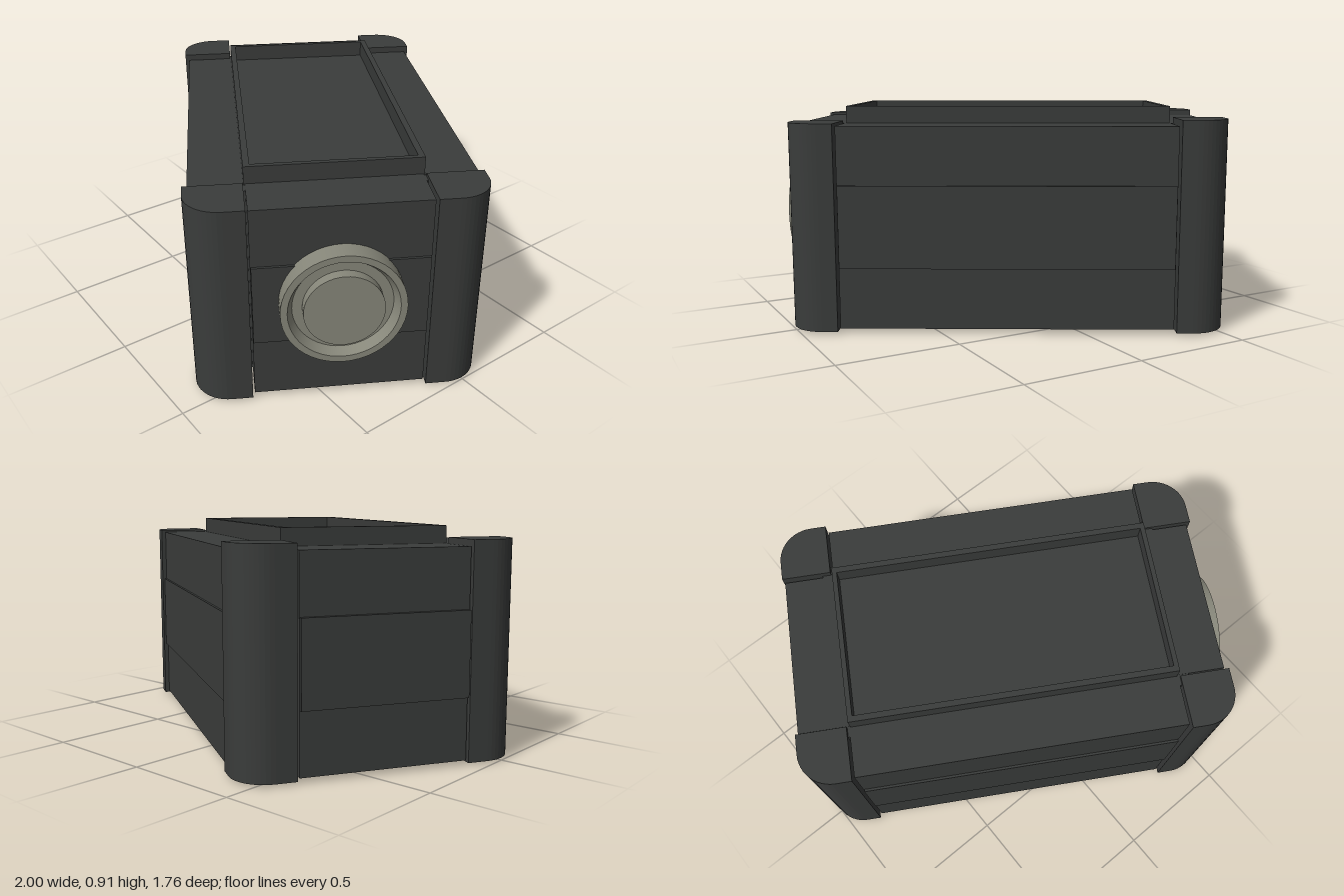
import * as THREE from 'three';

const dark = new THREE.MeshStandardMaterial({ color: 0x3a3c3b });
const metal = new THREE.MeshStandardMaterial({ color: 0x87877a });

// Extrude a flat (x, z) outline upwards from y0 to y1
function slab(name, shape, y0, y1) {
  const g = new THREE.ExtrudeGeometry(shape, { depth: y1 - y0, bevelEnabled: false, curveSegments: 10 });
  g.rotateX(-Math.PI / 2);
  g.translate(0, y0, 0);
  const mesh = new THREE.Mesh(g, dark);
  mesh.name = name;
  return mesh;
}

function polygon(points) {
  return new THREE.Shape(points.map(([x, y]) => new THREE.Vector2(x, y)));
}

function rect(u, v) {
  return polygon([[-u, -v], [u, -v], [u, v], [-u, v]]);
}

function box(name, w, h, d, x, y, z) {
  const mesh = new THREE.Mesh(new THREE.BoxGeometry(w, h, d), dark);
  mesh.position.set(x, y, z);
  mesh.name = name;
  return mesh;
}

// Square post outline with one rounded outer corner, facing (sx, sy)
function postShape(sx, sy) {
  const U = 0.887, V = 0.565, u = 0.683, v = 0.343, r = 0.14;
  const pts = [[u, v], [U, v]];
  for (let i = 0; i <= 12; i++) {
    const a = (i / 12) * Math.PI / 2;
    pts.push([U - r + r * Math.cos(a), V - r + r * Math.sin(a)]);
  }
  pts.push([u, V]);
  return polygon(pts.map(([x, y]) => [x * sx, y * sy]));
}

export function createModel() {
  const group = new THREE.Group();
  group.name = 'case';

  // Cross-shaped body that leaves the corners free for the posts
  const L = 0.88, l = 0.675, W = 0.547, w = 0.335;
  group.add(slab('body', polygon([
    [-l, -W], [l, -W], [l, -w], [L - 0.01, -w], [L - 0.01, w], [l, w],
    [l, W], [-l, W], [-l, w], [-L, w], [-L, -w], [-l, -w],
  ]), 0.02, 0.84));
  group.add(slab('innerCore', rect(0.72, 0.38), 0.022, 0.838));

  // Corner posts, slightly taller at the rear end
  for (const sx of [-1, 1]) for (const sy of [-1, 1]) {
    group.add(slab('cornerPost', postShape(sx, sy), 0.01, sx < 0 ? 0.865 : 0.85));
  }

  // Raised bands around the middle of the sides and ends
  for (const s of [-1, 1]) {
    group.add(box('sideBand', 1.345, 0.335, 0.02, 0, 0.437, s * 0.547));
    group.add(box('endBand', 0.02, 0.335, 0.665, s < 0 ? -0.888 : 0.87, 0.437, 0));
  }

  // Raised lip around the top tray, and the base plate
  const lip = rect(0.67, 0.34);
  lip.holes.push(rect(0.65, 0.315));
  group.add(slab('topLip', lip, 0.83, 0.91));
  group.add(slab('basePlate', rect(0.67, 0.34), 0, 0.03));

  // Round port: rim, sunken ring and raised centre disc
  const profile = [
    [0, 0.865], [0.236, 0.865], [0.236, 0.952], [0.21, 0.952],
    [0.19, 0.915], [0.152, 0.915], [0.152, 0.957], [0, 0.957],
  ];
  const port = new THREE.Group();
  port.name = 'port';
  for (let i = 0; i < profile.length - 1; i++) {
    const pts = [profile[i], profile[i + 1]].map(([x, y]) => new THREE.Vector2(x, y));
    const part = new THREE.Mesh(new THREE.LatheGeometry(pts, 48), metal);
    part.name = 'portRing';
    port.add(part);
  }
  port.rotation.z = -Math.PI / 2;
  port.position.y = 0.445;
  group.add(port);

  // The case stands turned by thirty degrees
  const model = new THREE.Group();
  model.name = 'turnedCase';
  group.rotation.y = -Math.PI / 6;
  model.add(group);
  return model;
}
